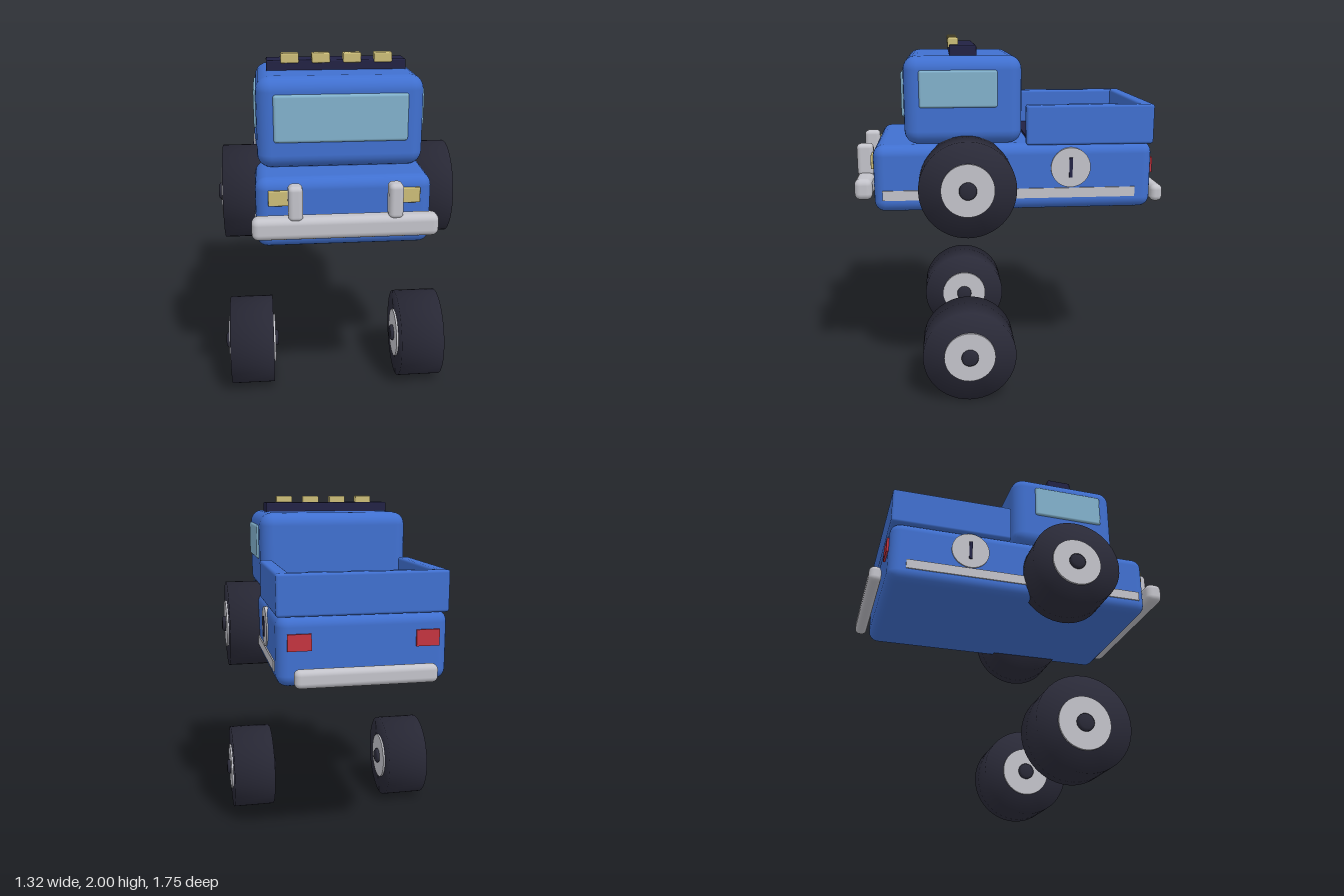
import * as THREE from 'three';
import { RoundedBoxGeometry } from 'three/addons/geometries/RoundedBoxGeometry.js';

const paint = (name, color) => {
  const m = new THREE.MeshStandardMaterial({ color });
  m.name = name;
  return m;
};

export function createModel() {
  const model = new THREE.Group();
  model.name = 'pickupTruck';
  const blue = paint('bodyBlue', 0x4070d0);
  const navy = paint('darkNavy', 0x222244);
  const rubber = paint('tyreBlack', 0x2a2a38);
  const silver = paint('silver', 0xc3c3ca);
  const glass = paint('glass', 0x82b1cc);
  const yellow = paint('lampYellow', 0xccbd78);
  const red = paint('lampRed', 0xc43440);

  const add = (name, geometry, material, x, y, z, parent = model) => {
    const mesh = new THREE.Mesh(geometry, material);
    mesh.name = name;
    mesh.position.set(x, y, z);
    parent.add(mesh);
    return mesh;
  };
  // Box given by its ranges on each axis, with rounded edges when r > 0
  const block = (name, material, [x0, x1], [y0, y1], [z0, z1], r = 0, seg = 3) => {
    const w = x1 - x0, h = y1 - y0, d = z1 - z0;
    const geometry = r ? new RoundedBoxGeometry(w, h, d, seg, r) : new THREE.BoxGeometry(w, h, d);
    return add(name, geometry, material, (x0 + x1) / 2, (y0 + y1) / 2, (z0 + z1) / 2);
  };
  // Range running outward from the middle on one side, kept in ascending order
  const side = (s, a, b) => (s > 0 ? [a, b] : [-b, -a]);
  const around = (c, size) => [c - size / 2, c + size / 2];

  // Lower body and cabin
  block('body', blue, [-0.453, 0.453], [1.06, 1.432], [-0.78, 0.77], 0.06);
  block('cabin', blue, [-0.438, 0.438], [1.43, 1.91], [-0.05, 0.595], 0.075);
  block('windshield', glass, [-0.35, 0.35], [1.575, 1.825], [0.575, 0.61], 0.016);

  // Cargo bed
  block('bedFloor', navy, [-0.385, 0.385], [1.42, 1.445], [-0.72, -0.09]);
  block('tailgate', blue, [-0.453, 0.453], [1.425, 1.645], [-0.782, -0.712], 0.015);

  // Bumpers
  block('frontBumper', silver, [-0.475, 0.475], [1.137, 1.254], [0.775, 0.873], 0.035);
  block('rearBumper', silver, [-0.375, 0.375], [1.073, 1.17], [-0.873, -0.802], 0.03);

  // Roof bar with four lamps
  block('roofBar', navy, [-0.376, 0.376], [1.9, 1.963], [0.196, 0.343], 0.008);
  for (const x of [-0.251, -0.084, 0.084, 0.251])
    block('roofLamp', yellow, around(x, 0.098), [1.947, 2], [0.291, 0.35], 0.008);

  // Parts repeated on both sides
  const disc = new THREE.CylinderGeometry(0.111, 0.111, 0.02, 40).rotateZ(Math.PI / 2);
  for (const s of [1, -1]) {
    block('bedSide', blue, side(s, 0.378, 0.453), [1.425, 1.645], [-0.782, -0.07], 0.015);
    block('sideWindow', glass, side(s, 0.42, 0.45), [1.635, 1.835], [0.087, 0.51], 0.013);
    block('sideStripe', silver, side(s, 0.44, 0.46), [1.13, 1.185], [-0.682, 0.722]);
    add('sideDisc', disc, silver, s * 0.451, 1.3, -0.318);
    block('sideDiscSlot', navy, side(s, 0.455, 0.468), [1.244, 1.356], [-0.327, -0.309]);
    block('bumperPost', silver, around(s * 0.253, 0.074), [1.235, 1.418], [0.777, 0.87], 0.025);
    block('headlight', yellow, side(s, 0.286, 0.388), [1.294, 1.374], [0.755, 0.785], 0.006);
    block('tailLight', red, side(s, 0.276, 0.4), [1.253, 1.34], [-0.792, -0.765]);
  }

  // Wheels: softly shaded tyre with a hub and cap showing on both faces
  const tyre = new THREE.LatheGeometry(
    [[0, -0.127], [0.262, -0.127], [0.262, 0.127], [0, 0.127]].map(([r, y]) => new THREE.Vector2(r, y)), 48
  ).rotateZ(Math.PI / 2);
  const hub = new THREE.CylinderGeometry(0.144, 0.144, 0.276, 40).rotateZ(Math.PI / 2);
  const capProfile = [[0, -0.159], [0.036, -0.159], [0.048, -0.148], [0.048, 0.148], [0.036, 0.159], [0, 0.159]];
  const cap = new THREE.LatheGeometry(capProfile.map(([r, y]) => new THREE.Vector2(r, y)), 20).rotateZ(Math.PI / 2);
  for (const y of [0.264, 1.219])
    for (const s of [1, -1]) {
      const wheel = new THREE.Group();
      wheel.name = 'wheel';
      wheel.position.set(s * 0.502, y, 0.26);
      add('tyre', tyre, rubber, 0, 0, 0, wheel);
      add('hub', hub, silver, 0, 0, 0, wheel);
      add('hubCap', cap, rubber, 0, 0, 0, wheel);
      model.add(wheel);
    }
  return model;
}
